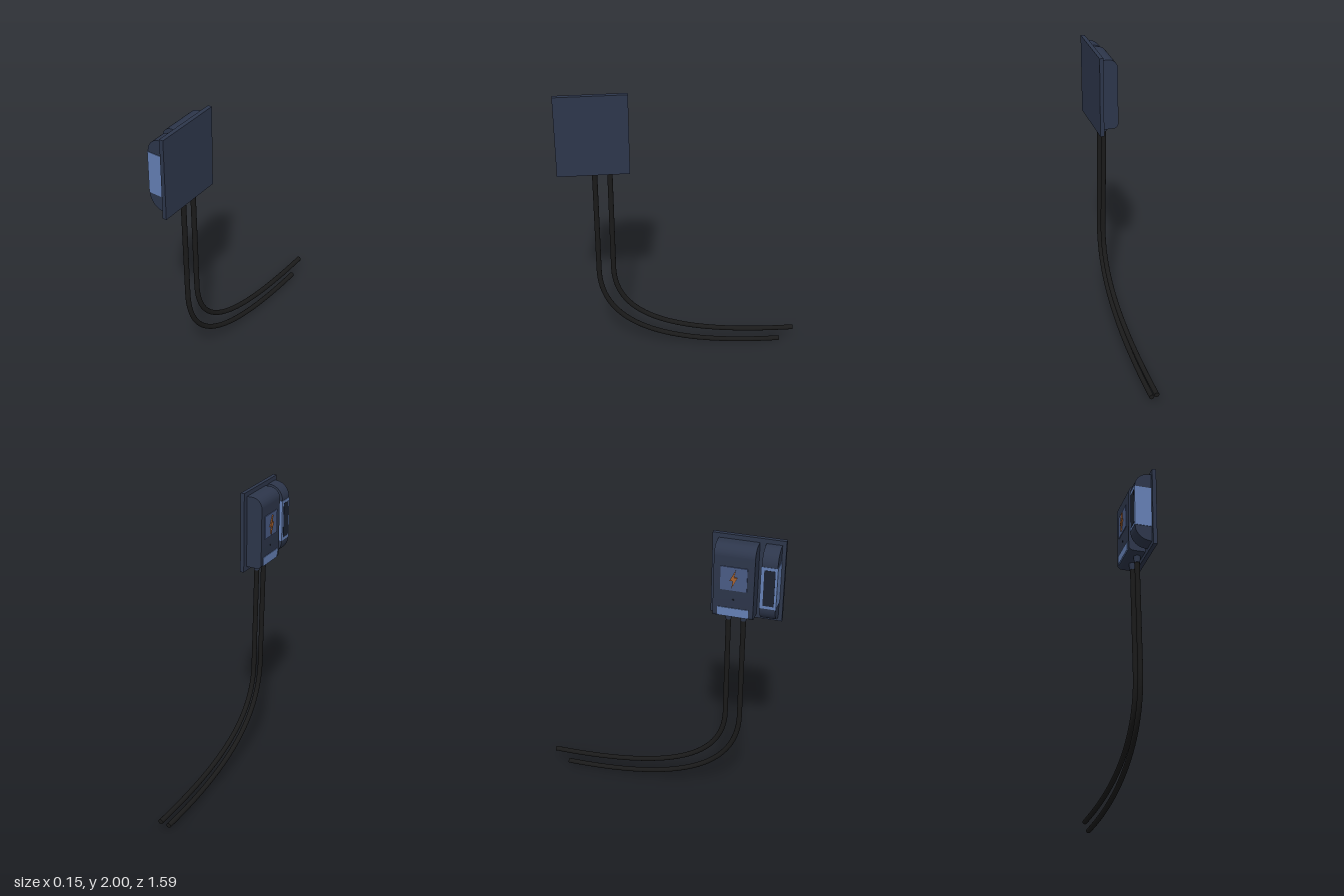
import * as THREE from 'three';
import { toCreasedNormals } from 'three/addons/utils/BufferGeometryUtils.js';

const mat = (color) => new THREE.MeshStandardMaterial({ color });
const navy = mat(0x2d364b);
const dark = mat(0x1c2230);
const blue = mat(0x6580b5);
const slate = mat(0x4a5b85);
const copper = mat(0xa8622f);
const rubber = mat(0x1a1a1a);

const FRONT = -0.065; // x of the housing face
const WALL = 0.046;   // x where the housings meet the back plate

export function createModel() {
  const model = new THREE.Group();
  model.name = 'wallCharger';

  const add = (name, geometry, material) => {
    const mesh = new THREE.Mesh(geometry, material);
    mesh.name = name;
    model.add(mesh);
    return mesh;
  };

  // Box given by its limits on each axis
  const box = (name, [x0, x1], [y0, y1], [z0, z1], material) => {
    const mesh = add(name, new THREE.BoxGeometry(x1 - x0, y1 - y0, z1 - z0), material);
    mesh.position.set((x0 + x1) / 2, (y0 + y1) / 2, (z0 + z1) / 2);
  };

  // Housing: flat against the plate, rounded at its outer top and bottom edges
  const housing = (name, y0, y1, z0, z1, rTop, rBottom) => {
    const s = new THREE.Shape();
    s.moveTo(WALL, y0);
    s.lineTo(WALL, y1);
    s.lineTo(FRONT + rTop, y1);
    s.absarc(FRONT + rTop, y1 - rTop, rTop, Math.PI / 2, Math.PI, false);
    s.lineTo(FRONT, y0 + rBottom);
    s.absarc(FRONT + rBottom, y0 + rBottom, rBottom, Math.PI, Math.PI * 1.5, false);
    s.closePath();
    const g = new THREE.ExtrudeGeometry(s, { depth: z1 - z0, bevelEnabled: false, curveSegments: 16 });
    g.translate(0, 0, z0);
    add(name, toCreasedNormals(g, 0.6), navy);
  };

  box('backPlate', [0.045, 0.072], [1.445, 2], [0.33, 0.795], navy);
  housing('mainHousing', 1.475, 1.97, 0.37, 0.63, 0.07, 0.03);
  housing('plugHolder', 1.475, 1.97, 0.67, 0.77, 0.1, 0.1);

  // Coloured sleeve around the plug holder with its dark opening
  box('holderSleeve', [-0.067, 0.0455], [1.58, 1.865], [0.667, 0.773], blue);
  box('holderOpening', [-0.0685, -0.06], [1.6, 1.845], [0.688, 0.758], dark);

  // Details on the main face
  box('symbolPanel', [-0.07, -0.06], [1.675, 1.835], [0.415, 0.585], slate);
  box('lowerPanel', [-0.069, -0.06], [1.49, 1.55], [0.4, 0.6], blue);
  const lamp = add('statusLamp', new THREE.CylinderGeometry(0.006, 0.006, 0.006, 12), dark);
  lamp.rotation.z = Math.PI / 2;
  lamp.position.set(-0.066, 1.61, 0.5);

  // Lightning bolt
  const bolt = new THREE.Shape(
    [[0.012, 0.065], [-0.025, -0.01], [-0.003, -0.01], [-0.012, -0.065], [0.025, 0.014], [0.003, 0.014]]
      .map(([z, y]) => new THREE.Vector2(z, y)));
  const boltGeometry = new THREE.ExtrudeGeometry(bolt, { depth: 0.01, bevelEnabled: false });
  boltGeometry.rotateY(-Math.PI / 2);
  add('boltSymbol', boltGeometry, copper).position.set(-0.068, 1.755, 0.5);

  // Cables: a straight drop, then a sweep backwards along the ground
  const v = (y, z) => new THREE.Vector3(0.037 - 0.017 * y, y, z);
  const cable = (name, top, bend, c1, c2, end) => {
    const path = new THREE.CurvePath();
    path.add(new THREE.LineCurve3(v(...top), v(...bend)));
    path.add(new THREE.CubicBezierCurve3(v(...bend), v(...c1), v(...c2), v(...end)));
    const r = 0.017;
    add(name, new THREE.TubeGeometry(path, 90, r, 14, false), rubber);
    const cap = add(name + 'End', new THREE.CircleGeometry(r, 14), rubber);
    cap.position.copy(v(...end));
    cap.rotation.y = Math.PI;
    const grommet = add(name + 'Grommet', new THREE.CylinderGeometry(0.024, 0.019, 0.05, 16), navy);
    grommet.position.copy(v(1.455, top[1]));
  };
  cable('outerCable', [1.48, 0.555], [0.69, 0.555], [0.25, 0.555], [0.02, 0.15], [0.02, -0.7]);
  cable('innerCable', [1.48, 0.457], [0.7, 0.457], [0.31, 0.457], [0.11, 0.08], [0.11, -0.795]);

  return model;
}
